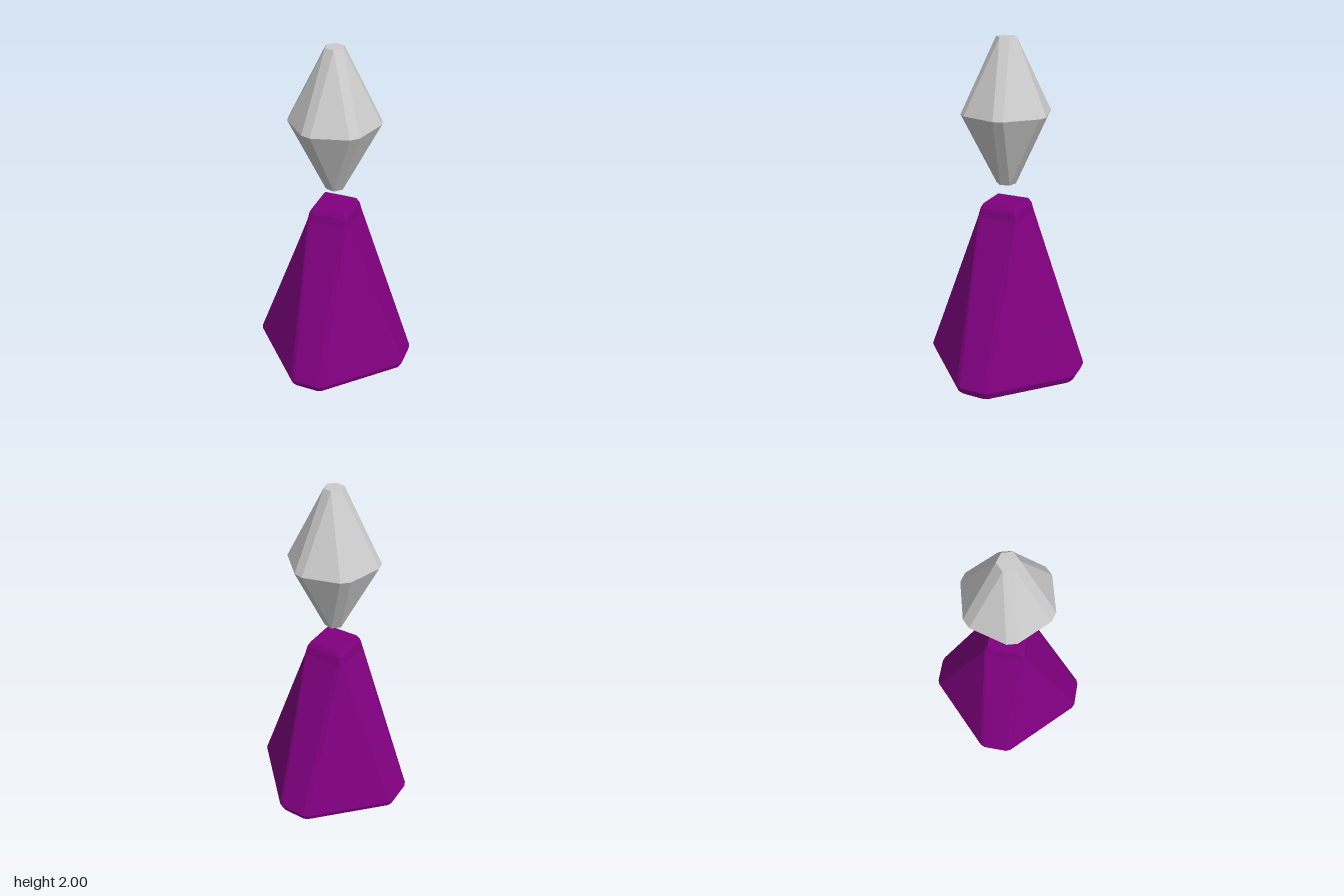
import * as THREE from 'three';

// Skin a stack of rings ({ y, points: [x, z] }) listed bottom to top, with flat end caps
function loft(rings) {
  const positions = [];
  const vecs = rings.map(({ y, points }) => points.map(([x, z]) => new THREE.Vector3(x, y, z)));
  const tri = (a, b, c) => {
    if (new THREE.Triangle(a, b, c).getArea() < 1e-8) return; // collapsed side
    for (const v of [a, b, c]) positions.push(v.x, v.y, v.z);
  };
  const n = vecs[0].length;
  for (let i = 0; i < n; i++) {
    const j = (i + 1) % n;
    for (let k = 0; k < vecs.length - 1; k++) {
      const lo = vecs[k], hi = vecs[k + 1];
      tri(lo[i], hi[i], hi[j]);
      tri(lo[i], hi[j], lo[j]);
    }
    const first = vecs[0], last = vecs[vecs.length - 1];
    tri(new THREE.Vector3(0, first[0].y, 0), first[i], first[j]);
    tri(new THREE.Vector3(0, last[0].y, 0), last[j], last[i]);
  }
  const geometry = new THREE.BufferGeometry();
  geometry.setAttribute('position', new THREE.Float32BufferAttribute(positions, 3));
  geometry.computeVertexNormals();
  return geometry;
}

// Square ring whose cut corners are softened: a, b and c, d give one corner's points
function bodyRing(y, a, b, c, d) {
  let corner = [[a, b], [c, d], [d, c], [b, a]];
  const points = [];
  for (let q = 0; q < 4; q++) {
    points.push(...corner);
    corner = corner.map(([x, z]) => [-z, x]);
  }
  return { y, points };
}

// Complete half a ring by turning it 180 degrees
const gemRing = (y, half) => ({ y, points: [...half, ...half.map(([x, z]) => [-x, -z])] });

export function createModel() {
  const model = new THREE.Group();
  const add = (name, color, rings) => {
    const mesh = new THREE.Mesh(
      loft(rings),
      new THREE.MeshStandardMaterial({ color, flatShading: true })
    );
    mesh.name = name;
    model.add(mesh);
  };

  // Tapered body: cut-corner square base rising to a diamond top, edges bevelled
  add('taperedBody', 0x800080, [
    bodyRing(0, 0.365, 0.25, 0.355, 0.27),
    bodyRing(0.02, 0.388, 0.257, 0.376, 0.281),
    bodyRing(0.06, 0.403, 0.26, 0.391, 0.288),
    bodyRing(0.985, 0.17, 0.006, 0.158, 0.02),
    bodyRing(1.035, 0.156, 0.005, 0.146, 0.018),
    bodyRing(1.06, 0.138, 0.004, 0.128, 0.015),
  ]);

  // Floating gem: hexagonal tips, twelve-sided girdle
  const tip = [[0.055, 0], [0.028, 0.049], [0.028, 0.049], [-0.028, 0.049], [-0.028, 0.049], [-0.055, 0]];
  const girdle = [[0.237, 0.105], [0.209, 0.154], [0.028, 0.258], [-0.028, 0.258], [-0.209, 0.154], [-0.237, 0.105]];
  add('floatingGem', 0xcccccc, [gemRing(1.17, tip), gemRing(1.585, girdle), gemRing(2, tip)]);

  return model;
}
